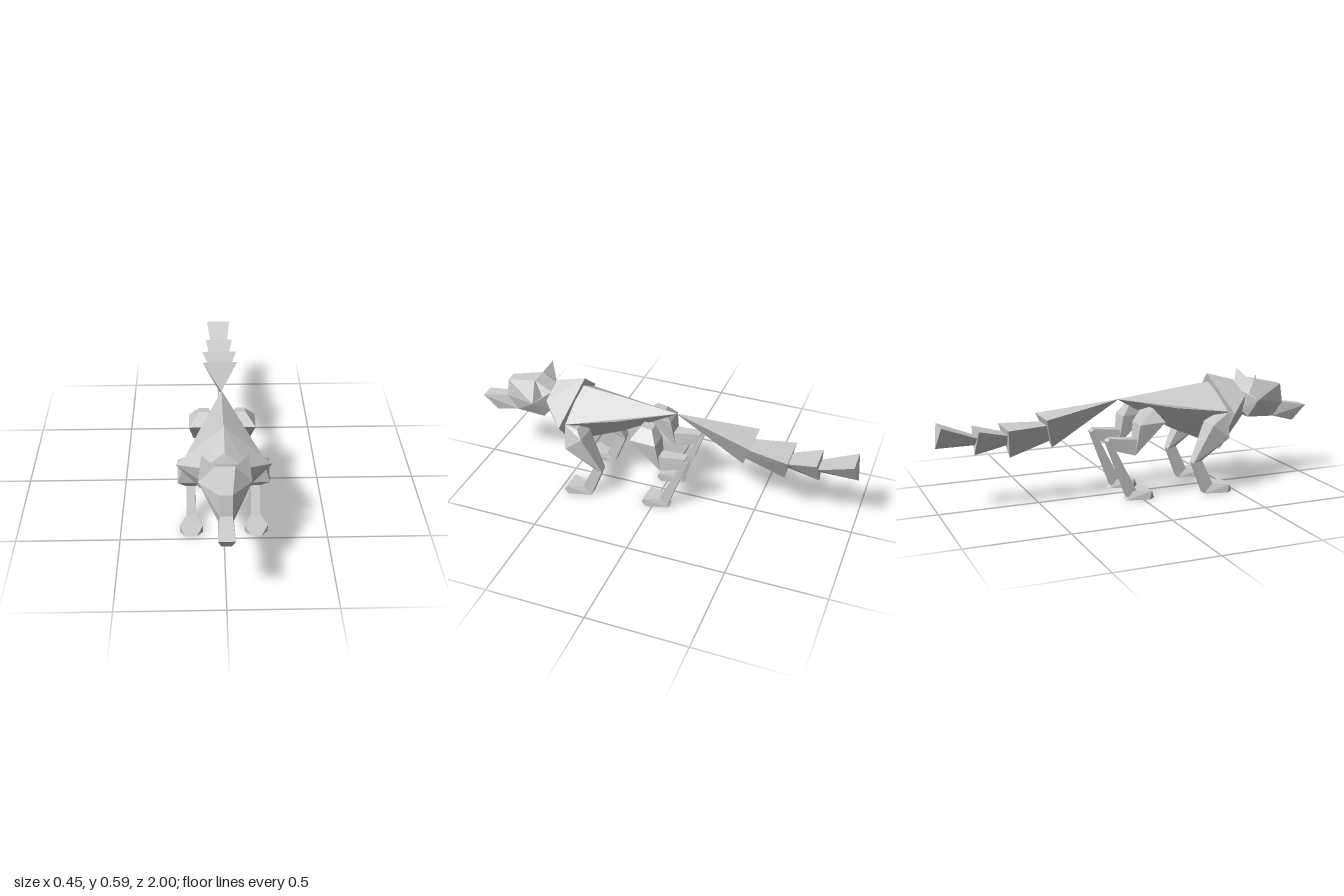
import * as THREE from 'three';
import { ConvexGeometry } from 'three/addons/geometries/ConvexGeometry.js';

const fur = new THREE.MeshStandardMaterial({ color: 0xcccccc });
fur.name = 'greyFur';

const flip = ([x, y, z]) => [-x, y, z];

// faceted solid spanning a handful of corner points
function hull(name, points) {
  const mesh = new THREE.Mesh(new ConvexGeometry(points.map((p) => new THREE.Vector3(...p))), fur);
  mesh.name = name;
  return mesh;
}

// solid symmetric about x = 0, given its left half
const symmetric = (name, half) =>
  hull(name, half.flatMap((p) => (p[0] === 0 ? [p] : [p, flip(p)])));

// four-cornered section: inner x, outer x, then [y, z] of its two edges
const section = (x0, x1, ...edges) => edges.flatMap(([y, z]) => [[x0, y, z], [x1, y, z]]);

// paw around x, with its heel at z
const paw = (x, z) => [
  ...section(x - 0.056, x + 0.056, [0.045, z + 0.125], [0, z + 0.115]),
  ...section(x - 0.027, x + 0.027, [0, z + 0.15]),
  ...section(x - 0.024, x + 0.024, [0.045, z + 0.04], [0, z]),
];

// points of every leg part on the left side
const elbow = section(0.135, 0.18, [0.178, 0.312], [0.165, 0.265]);
const knee = section(0.08, 0.145, [0.23, -0.04], [0.31, -0.03]);
const hock = section(0.09, 0.137, [0.27, -0.145], [0.31, -0.186]);
const legParts = {
  frontUpperLeg: [
    ...section(0.13, 0.185, [0.415, 0.455], [0.4, 0.39]),
    ...section(0.105, 0.217, [0.29, 0.445], [0.362, 0.355]),
    ...elbow,
  ],
  frontLowerLeg: [...elbow, ...section(0.135, 0.18, [0.045, 0.375], [0, 0.33])],
  frontPaw: paw(0.157, 0.33),
  thigh: [
    ...section(0.065, 0.115, [0.452, 0.07], [0.442, 0.015]),
    ...section(0.06, 0.165, [0.39, 0.115], [0.385, -0.02]),
    ...knee,
  ],
  shank: [...knee, ...section(0.09, 0.137, [0.262, -0.15], [0.325, -0.168])],
  hindLowerLeg: [
    ...hock,
    ...section(0.09, 0.137, [0.322, -0.17]),
    ...section(0.09, 0.135, [0.045, -0.03], [0, -0.07]),
  ],
  hindPaw: paw(0.113, -0.085),
  ear: [[0.12, 0.45, 0.665], [0.045, 0.543, 0.68], [0.105, 0.585, 0.65], [0.085, 0.48, 0.625]],
};

// tail segments: [half width, top y, top z, bottom y, bottom z] at each end
const tailSegments = [
  [[0.002, 0.49, -0.075, 0.487, -0.075], [0.095, 0.435, -0.478, 0.275, -0.425]],
  [[0.05, 0.4, -0.455, 0.31, -0.44], [0.095, 0.4, -0.668, 0.245, -0.64]],
  [[0.05, 0.365, -0.65, 0.31, -0.65], [0.075, 0.405, -0.805, 0.275, -0.813]],
  [[0.045, 0.365, -0.8, 0.325, -0.81], [0.065, 0.435, -0.98, 0.325, -1]],
];

export function createModel() {
  const model = new THREE.Group();
  model.name = 'wolf';

  // torso tapering to a point at the hips
  model.add(symmetric('body', [
    [0, 0.545, 0.44], [0.19, 0.42, 0.45], [0, 0.2, 0.48],
    [0, 0.522, 0.21], [0.105, 0.44, 0.21], [0, 0.32, 0.21],
    [0, 0.49, -0.078],
  ]));

  // diamond-shaped mane narrowing to the neck
  model.add(symmetric('mane', [
    [0, 0.588, 0.42], [0.225, 0.413, 0.47], [0, 0.172, 0.5],
    [0, 0.545, 0.575], [0.1, 0.475, 0.595], [0, 0.355, 0.64],
  ]));

  // head
  model.add(symmetric('skull', [
    [0.045, 0.543, 0.68], [0.028, 0.507, 0.845], [0.028, 0.407, 0.86],
    [0.12, 0.45, 0.665], [0.068, 0.353, 0.63], [0.035, 0.337, 0.8],
    [0.045, 0.495, 0.59], [0.05, 0.39, 0.6],
  ]));
  model.add(symmetric('snout', [
    [0.028, 0.407, 0.86], [0.038, 0.382, 1], [0.022, 0.3, 0.93], [0.035, 0.337, 0.8],
  ]));

  // legs and ears on both sides
  for (const [name, points] of Object.entries(legParts)) {
    const label = name[0].toUpperCase() + name.slice(1);
    model.add(hull('left' + label, points), hull('right' + label, points.map(flip)));
  }

  // tail of overlapping flat-topped wedges
  tailSegments.forEach((ends, i) => {
    const half = ends.flatMap(([w, ty, tz, by, bz]) => [[w, ty, tz], [0, by, bz]]);
    model.add(symmetric('tailSegment' + (i + 1), half));
  });

  return model;
}
